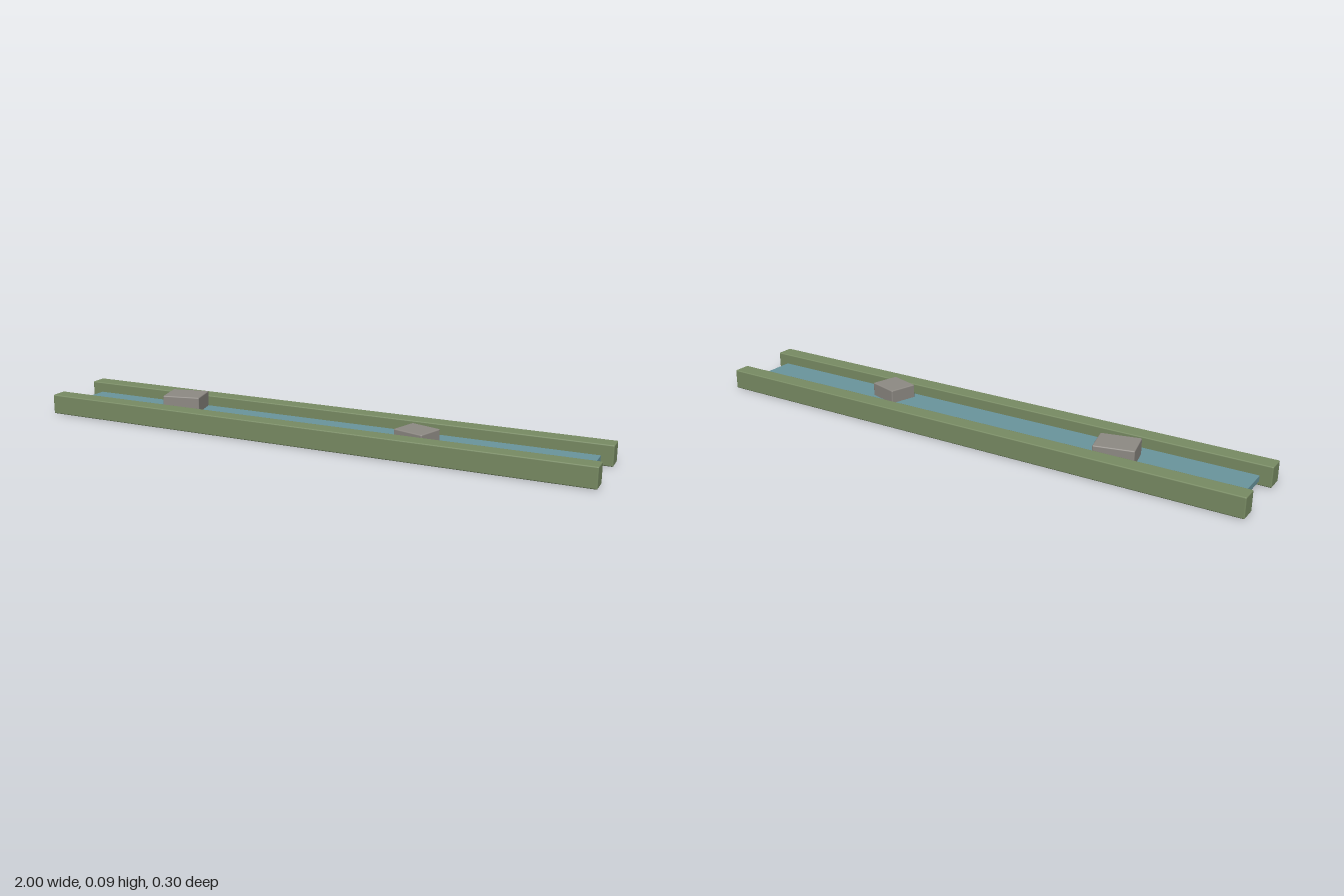
import * as THREE from 'three';
import { RoundedBoxGeometry } from 'three/addons/geometries/RoundedBoxGeometry.js';

const material = (name, color) => {
  const m = new THREE.MeshStandardMaterial({ color });
  m.name = name;
  return m;
};

export function createModel() {
  const group = new THREE.Group();
  group.name = 'stream';
  const grass = material('grass green', 0x788b63);
  const water = material('water blue', 0x6a959d);
  const stone = material('stone grey', 0x8e8a84);

  // Softly bevelled block spanning y0..y1
  const block = (name, mat, [w, d], [y0, y1], [x, z], turn = 0, radius = 0.004) => {
    const mesh = new THREE.Mesh(new RoundedBoxGeometry(w, y1 - y0, d, 2, radius), mat);
    mesh.name = name;
    mesh.position.set(x, (y0 + y1) / 2, z);
    mesh.rotation.y = turn;
    group.add(mesh);
  };

  // Grassy banks along both sides
  for (const side of [1, -1]) {
    block(side > 0 ? 'frontBank' : 'backBank', grass, [2, 0.062], [0, 0.071], [0, side * 0.121]);
  }

  // Water slab, a little shorter than the banks
  block('water', water, [1.92, 0.182], [0.013, 0.034], [0, 0], 0, 0.002);

  // Stones standing in the water
  block('largeStone', stone, [0.137, 0.111], [0.02, 0.088], [-0.531, -0.024], 0.22);
  block('smallStone', stone, [0.114, 0.101], [0.02, 0.081], [0.39, 0.032], -0.3);

  return group;
}
